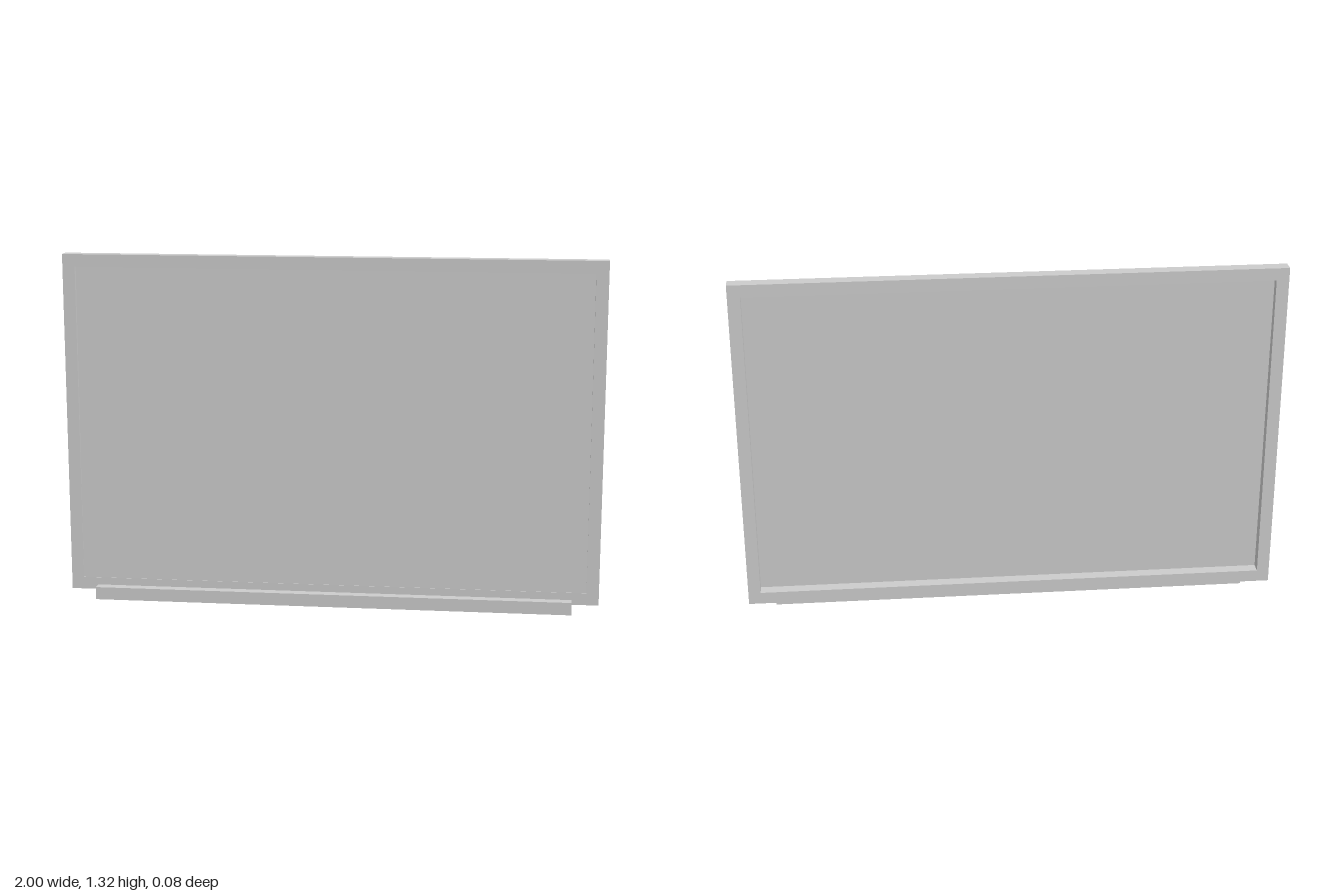
import * as THREE from 'three';

export function createModel() {
  const group = new THREE.Group();
  const material = new THREE.MeshStandardMaterial({ color: 0xcccccc });

  function add(name, geometry, x, y, z) {
    const mesh = new THREE.Mesh(geometry, material);
    mesh.name = name;
    mesh.position.set(x, y, z);
    group.add(mesh);
    return mesh;
  }

  const bottom = 0.03, top = 1.315, border = 0.046;
  const front = 0.006, back = -0.041;

  // Rectangular frame around the board
  const outline = new THREE.Shape([
    new THREE.Vector2(-1, bottom), new THREE.Vector2(1, bottom),
    new THREE.Vector2(1, top), new THREE.Vector2(-1, top),
  ]);
  const ix = 1 - border, iy0 = bottom + border, iy1 = top - border;
  outline.holes.push(new THREE.Path([
    new THREE.Vector2(-ix, iy0), new THREE.Vector2(-ix, iy1),
    new THREE.Vector2(ix, iy1), new THREE.Vector2(ix, iy0),
  ]));
  add('frame', new THREE.ExtrudeGeometry(outline, { depth: front - back, bevelEnabled: false }), 0, 0, back);

  // Thin writing surface, leaning back slightly toward the top
  const zBottom = 0.003, zTop = -0.011, height = iy1 - iy0;
  const board = add('board', new THREE.BoxGeometry(2 * ix, height, 0.002), 0, (iy0 + iy1) / 2, (zBottom + zTop) / 2);
  board.rotation.x = Math.atan2(zTop - zBottom, height);

  // Ledge along the lower front edge
  add('tray', new THREE.BoxGeometry(1.8, 0.048, 0.045), 0, 0.024, 0.0195);

  return group;
}
